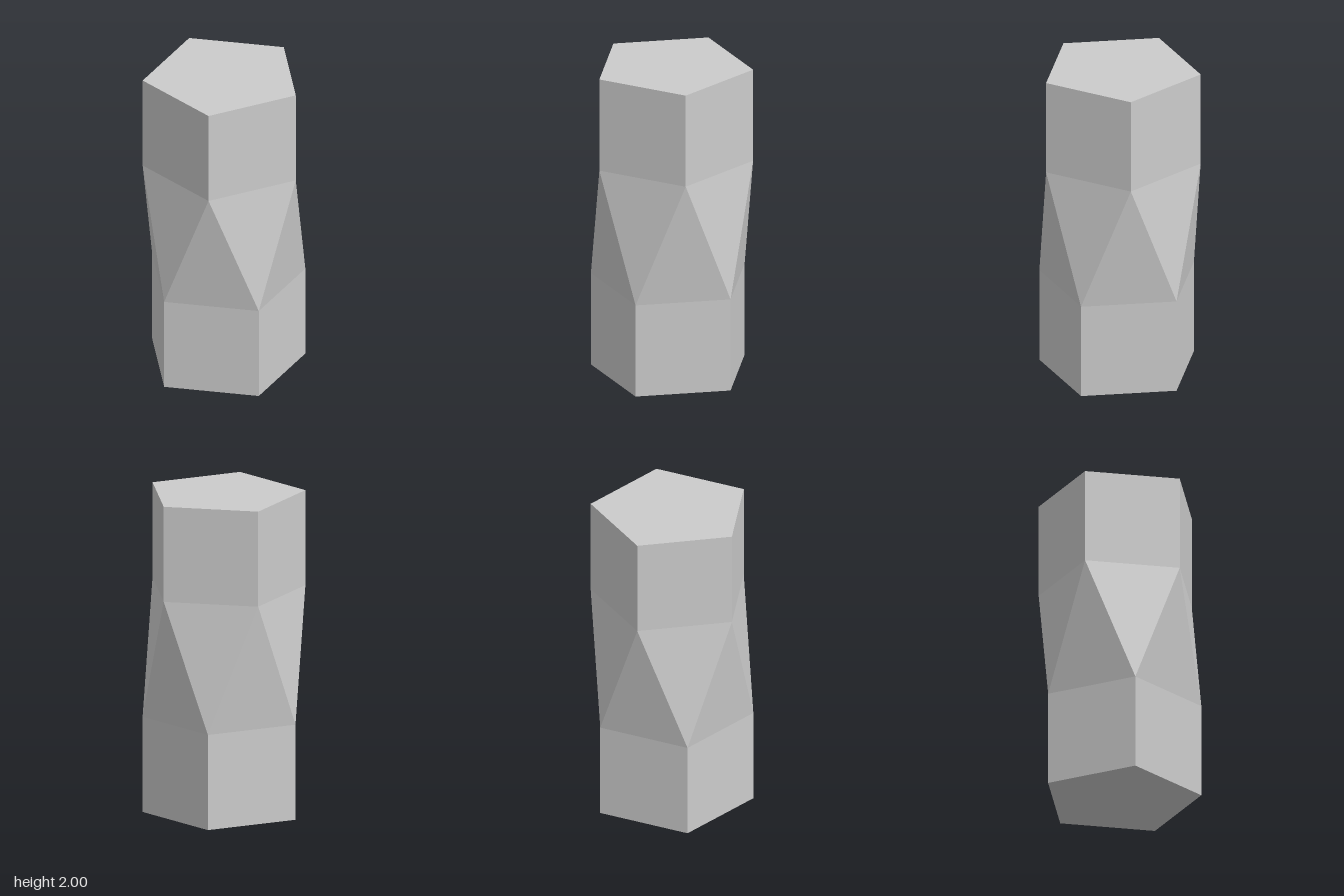
import * as THREE from 'three';

const SIDES = 5, RADIUS = 0.5;
const STEP = (Math.PI * 2) / SIDES;

// Corner i of a pentagon ring at height y, turned by a fraction of one step
function corner(i, y, turn) {
  const a = (i + turn) * STEP;
  return [RADIUS * Math.sin(a), y, RADIUS * Math.cos(a)];
}

function meshFrom(name, points, material) {
  const geometry = new THREE.BufferGeometry();
  geometry.setAttribute('position', new THREE.Float32BufferAttribute(points.flat(), 3));
  geometry.computeVertexNormals();
  const mesh = new THREE.Mesh(geometry, material);
  mesh.name = name;
  return mesh;
}

// Straight pentagonal prism, closed only at its outer end
function prism(name, y0, y1, turn, capAtTop, material) {
  const points = [];
  for (let i = 0; i < SIDES; i++) {
    const a = corner(i, y0, turn), b = corner(i + 1, y0, turn);
    const c = corner(i + 1, y1, turn), d = corner(i, y1, turn);
    points.push(a, b, c, a, c, d);
    if (capAtTop) points.push([0, y1, 0], d, c);
    else points.push([0, y0, 0], b, a);
  }
  return meshFrom(name, points, material);
}

// Band of alternating triangles joining two pentagons half a step apart
function twistBand(name, y0, y1, material) {
  const points = [];
  for (let i = 0; i < SIDES; i++) {
    const a = corner(i, y0, 0), b = corner(i + 1, y0, 0);
    const c = corner(i, y1, 0.5), d = corner(i + 1, y1, 0.5);
    points.push(a, b, c, b, d, c);
  }
  return meshFrom(name, points, material);
}

export function createModel() {
  const group = new THREE.Group();
  group.name = 'twistedPentagonColumn';
  const material = new THREE.MeshStandardMaterial({ color: 0xcccccc, flatShading: true });

  group.add(
    prism('lowerPrism', 0, 0.6, 0, false, material),
    twistBand('twistBand', 0.6, 1.4, material),
    prism('upperPrism', 1.4, 2, 0.5, true, material)
  );
  return group;
}
